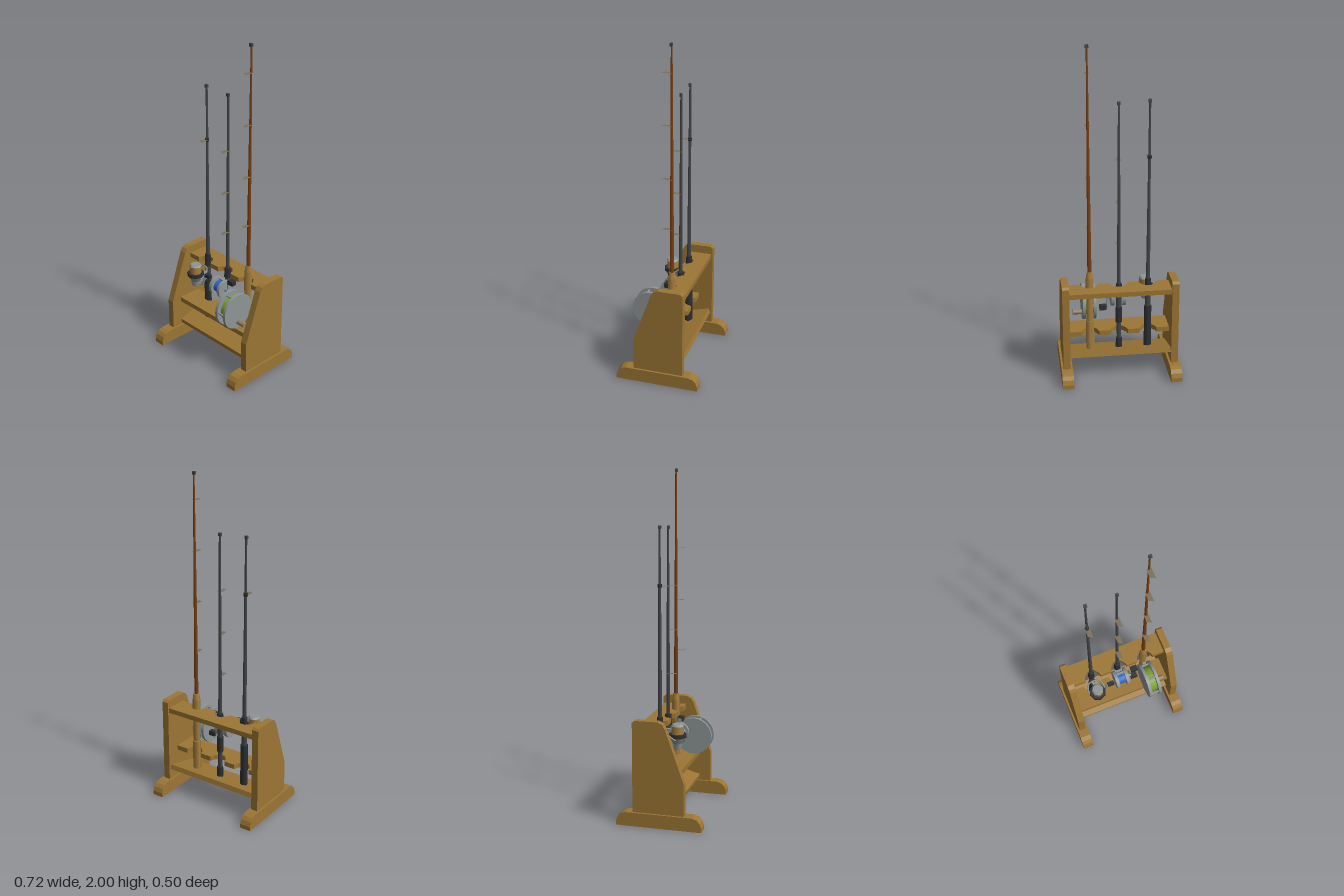
import * as THREE from 'three';

const mat = (name, color, extra = {}) =>
  Object.assign(new THREE.MeshStandardMaterial({ color, ...extra }), { name });

export function createModel() {
  const wood = mat('wood', 0x9c7634);
  const cork = mat('cork', 0xa88040);
  const black = mat('black grip', 0x2e3033);
  const carbon = mat('carbon shaft', 0x44474a);
  const silver = mat('silver metal', 0x8f9696);
  const blue = mat('blue line', 0x3068c4);
  const green = mat('green line', 0x7ca032);
  const brown = mat('brown shaft', 0x7c4012);
  const guideMat = mat('guide metal', 0x7c705a, { side: THREE.DoubleSide });
  const tan = mat('tan knob', 0x93836a);

  const root = new THREE.Group();
  root.name = 'fishingRodRack';
  const ROD_Z = -0.04;
  const rodXs = [-0.175, 0, 0.175];

  const add = (parent, name, geo, material, x = 0, y = 0, z = 0) => {
    const m = new THREE.Mesh(geo, material);
    m.name = name;
    m.position.set(x, y, z);
    parent.add(m);
    return m;
  };
  const group = (name) => {
    const g = new THREE.Group();
    g.name = name;
    root.add(g);
    return g;
  };
  const box = (w, h, d) => new THREE.BoxGeometry(w, h, d);
  // Upright tapered tube between two heights
  const upright = (r0, r1, y0, y1, sides = 5) =>
    new THREE.CylinderGeometry(r1, r0, y1 - y0, sides).rotateY(Math.PI).translate(0, (y0 + y1) / 2, 0);
  // Drum lying along x
  const drum = (r, x0, x1, sides = 20) =>
    new THREE.CylinderGeometry(r, r, x1 - x0, sides).rotateZ(Math.PI / 2).translate((x0 + x1) / 2, 0, 0);
  const extrude = (points, depth) =>
    new THREE.ExtrudeGeometry(new THREE.Shape(points.map((p) => new THREE.Vector2(...p))),
      { depth, bevelEnabled: false }).translate(0, 0, -depth / 2);
  // Outline in (z, y), thickness along x
  const sideBoard = (points, depth) => extrude(points, depth).rotateY(-Math.PI / 2);
  // Outline in (x, z), thickness along y
  const flatBoard = (points, depth) => extrude(points, depth).rotateX(Math.PI / 2);

  // ---- Rack ----
  const rack = group('rack');
  const footHalf = [[0.25, 0], [0.25, 0.025], [0.24, 0.052], [0.222, 0.071], [0.195, 0.08]];
  const foot = sideBoard([...footHalf, ...footHalf.map(([z, y]) => [-z, y]).reverse()], 0.068);
  const panel = sideBoard([[0.145, 0.08], [0.145, 0.27], [0.035, 0.58], [0.02, 0.603], [-0.005, 0.615],
    [-0.142, 0.615], [-0.155, 0.602], [-0.155, 0.08]], 0.042);
  for (const s of [1, -1]) {
    add(rack, s > 0 ? 'leftFoot' : 'rightFoot', foot, wood, s * 0.325);
    add(rack, s > 0 ? 'leftPanel' : 'rightPanel', panel, wood, s * 0.325);
  }
  // Shelf with one notched edge: edge, notch floor and plain edge given in z
  const notchedShelf = (plain, edge, floor) => {
    const pts = [[-0.306, plain], [-0.306, edge]];
    const mid = edge + (floor - edge) * 0.5;
    for (const x of rodXs) {
      pts.push([x - 0.053, edge], [x - 0.043, mid], [x - 0.018, floor],
        [x + 0.018, floor], [x + 0.043, mid], [x + 0.053, edge]);
    }
    pts.push([0.306, edge], [0.306, plain]);
    return flatBoard(pts, 0.03);
  };
  add(rack, 'topShelf', notchedShelf(-0.145, -0.01, -0.064), wood, 0, 0.55);
  add(rack, 'middleShelf', notchedShelf(0.08, -0.07, -0.016), wood, 0, 0.265);
  add(rack, 'bottomBoard', sideBoard([[0.075, 0.09], [0.08, 0.118], [-0.137, 0.176], [-0.145, 0.147]], 0.612), wood);

  // ---- Rods ----
  const addGuides = (rod, ys, reach) => {
    const s = new THREE.Shape([[-0.014, -0.005], [0.014, -0.005], [0.014, reach], [-0.014, reach - 0.015]]
      .map((p) => new THREE.Vector2(...p)));
    const geo = new THREE.ShapeGeometry(s).rotateX(Math.PI / 2);
    for (const y of ys) add(rod, 'lineGuide', geo, guideMat, 0, y, 0);
  };
  const makeRod = (name, x, sections, guides, reach, tipY) => {
    const rod = group(name);
    rod.position.set(x, 0, ROD_Z);
    for (const [part, r0, r1, y0, y1, m] of sections) add(rod, part, upright(r0, r1, y0, y1), m);
    addGuides(rod, guides, reach);
    add(rod, 'tipRing', box(0.018, 0.018, 0.014), carbon, 0, tipY - 0.009, 0.002);
    return rod;
  };
  const spinRod = makeRod('spinningRod', rodXs[0], [
    ['buttGrip', 0.024, 0.023, 0.15, 0.42, black],
    ['reelSeat', 0.018, 0.018, 0.42, 0.52, carbon],
    ['foreGrip', 0.022, 0.018, 0.52, 0.6, black],
    ['shaft', 0.013, 0.006, 0.6, 1.68, carbon],
  ], [1.355], 0.062, 1.69);
  add(spinRod, 'collar', upright(0.013, 0.013, 1.345, 1.365), black);
  const castRod = makeRod('castingRod', rodXs[1], [
    ['buttCap', 0.022, 0.019, 0.15, 0.215, black],
    ['thinHandle', 0.013, 0.015, 0.215, 0.32, carbon],
    ['rearGrip', 0.021, 0.021, 0.32, 0.42, black],
    ['reelSeat', 0.017, 0.017, 0.42, 0.51, carbon],
    ['foreGrip', 0.023, 0.019, 0.51, 0.575, black],
    ['shaft', 0.012, 0.006, 0.575, 1.67, carbon],
  ], [1.34, 1.08, 0.82], 0.06, 1.68);
  const flyRod = makeRod('flyRod', rodXs[2], [
    ['buttGrip', 0.026, 0.026, 0.15, 0.34, cork],
    ['reelSeat', 0.021, 0.021, 0.34, 0.49, cork],
    ['foreGrip', 0.026, 0.024, 0.49, 0.62, cork],
    ['gripTop', 0.024, 0.018, 0.62, 0.66, cork],
    ['shaft', 0.013, 0.005, 0.66, 1.99, brown],
  ], [1.84, 1.545, 1.235, 0.93], 0.06, 2.0);

  // ---- Spinning reel ----
  const spin = new THREE.Group();
  spin.name = 'spinningReel';
  spin.position.z = 0.105;
  spinRod.add(spin);
  add(spin, 'stem', box(0.016, 0.05, 0.09), silver, 0, 0.455, -0.05);
  add(spin, 'gearBody', upright(0.022, 0.03, 0.42, 0.46, 8), silver);
  add(spin, 'rotor', upright(0.03, 0.048, 0.455, 0.49, 8), silver);
  add(spin, 'spoolRim', upright(0.052, 0.052, 0.49, 0.51, 8), black);
  add(spin, 'spoolLine', upright(0.036, 0.036, 0.51, 0.556, 8), cork);
  add(spin, 'spoolCap', upright(0.038, 0.03, 0.556, 0.566, 8), silver);
  const bail = new THREE.CatmullRomCurve3([[-0.047, 0.48, 0], [-0.051, 0.5, -0.03], [-0.035, 0.525, -0.062],
    [0, 0.53, -0.07], [0.035, 0.525, -0.062], [0.051, 0.5, -0.03], [0.047, 0.48, 0]]
    .map((p) => new THREE.Vector3(...p)));
  add(spin, 'bailWire', new THREE.TubeGeometry(bail, 20, 0.005, 6), silver);
  const crank = new THREE.CatmullRomCurve3([[0.02, 0.44, 0], [0.05, 0.445, -0.008], [0.062, 0.475, -0.014],
    [0.072, 0.512, -0.017], [0.085, 0.515, -0.017]].map((p) => new THREE.Vector3(...p)));
  add(spin, 'crankArm', new THREE.TubeGeometry(crank, 14, 0.007, 6), silver);
  add(spin, 'crankKnob', box(0.04, 0.024, 0.024), black, 0.095, 0.515, -0.017);

  // ---- Casting reel ----
  const cast = new THREE.Group();
  cast.name = 'castingReel';
  cast.position.set(0, 0.462, 0.06);
  castRod.add(cast);
  for (const s of [1, -1]) add(cast, 'sidePlate', drum(0.057, -0.01, 0.01), silver, s * 0.034);
  add(cast, 'spoolLine', drum(0.037, -0.026, 0.026), blue);
  add(cast, 'reelFoot', box(0.05, 0.06, 0.016), silver, 0, 0, -0.044);
  for (const y of [-0.043, 0.043]) add(cast, 'crossBar', box(0.05, 0.01, 0.014), silver, 0, y, -0.015);
  add(cast, 'crankAxle', drum(0.012, 0.04, 0.066, 10), silver);
  add(cast, 'crankArm', box(0.009, 0.145, 0.018), silver, 0.062, 0, -0.006);
  for (const y of [-0.066, 0.066]) add(cast, 'crankKnob', box(0.042, 0.028, 0.032), black, 0.09, y, -0.006);

  // ---- Fly reel ----
  const fly = new THREE.Group();
  fly.name = 'flyReel';
  fly.position.set(-0.002, 0.412, 0.12);
  flyRod.add(fly);
  for (const s of [1, -1]) add(fly, 'sidePlate', drum(0.111, -0.009, 0.009, 24), silver, s * 0.032);
  add(fly, 'spoolLine', drum(0.082, -0.024, 0.024, 24), green);
  for (let i = 0; i < 5; i++) {
    const a = (i / 5) * Math.PI * 2;
    add(fly, 'pillar', drum(0.007, -0.024, 0.024, 8), silver, 0, Math.sin(a) * 0.097, Math.cos(a) * 0.097);
  }
  add(fly, 'reelFoot', box(0.022, 0.12, 0.012), silver, 0, 0, -0.092);
  add(fly, 'crankKnob', drum(0.016, 0.04, 0.098, 10), tan, 0, -0.072, 0);

  return root;
}
